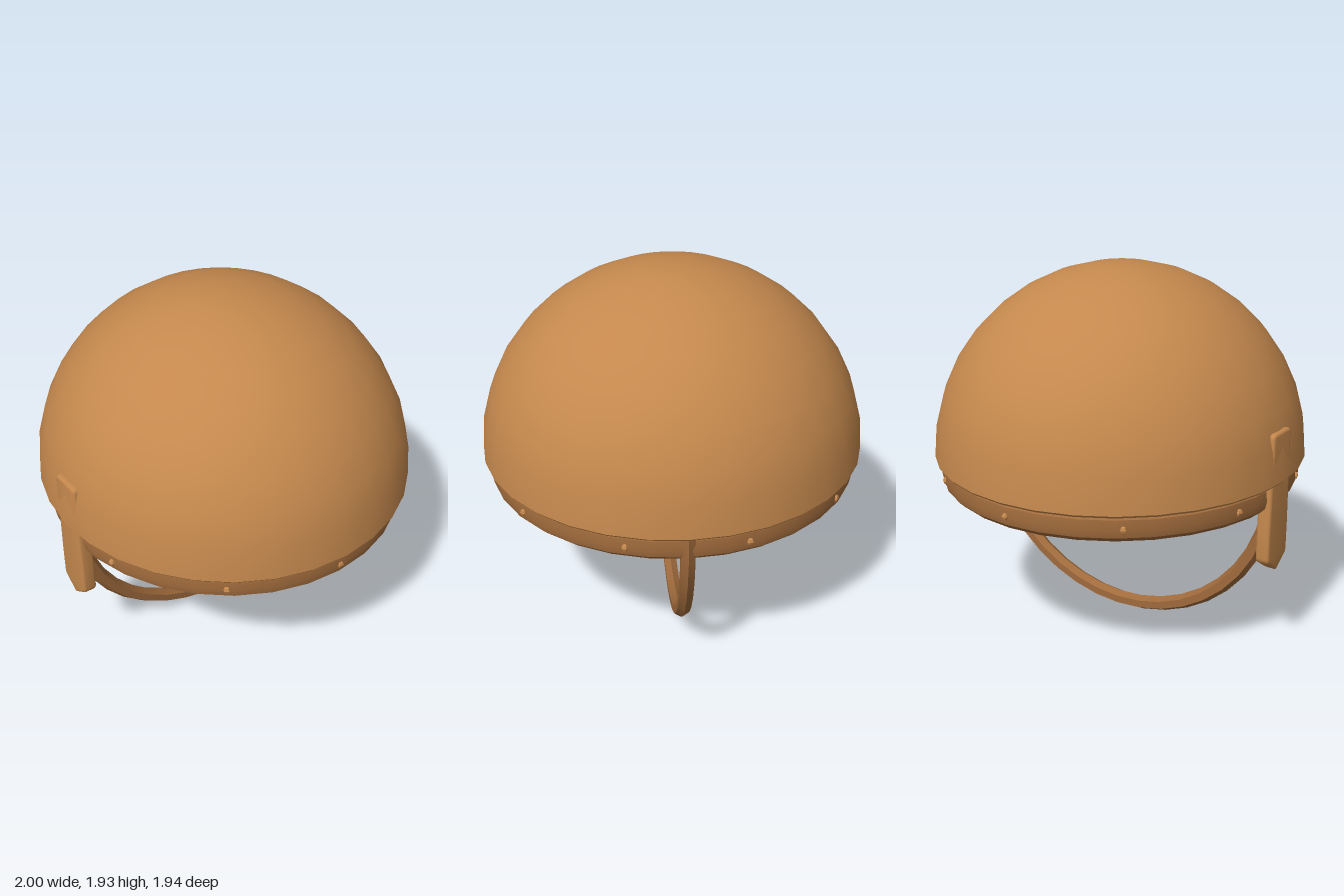
import * as THREE from 'three';
import { toCreasedNormals } from 'three/addons/utils/BufferGeometryUtils.js';

const DEPTH = 0.968; // the helmet is slightly narrower front to back

export function createModel() {
  const model = new THREE.Group();
  model.name = 'helmet';
  const leather = new THREE.MeshStandardMaterial({ color: 0xc4884d });
  const darkLeather = new THREE.MeshStandardMaterial({ color: 0xa06b3c });
  leather.name = 'tan leather';
  darkLeather.name = 'dark leather';

  function add(name, geometry, material, parent = model) {
    const mesh = new THREE.Mesh(geometry, material);
    mesh.name = name;
    parent.add(mesh);
    return mesh;
  }

  function lathe(points, crease) {
    const geometry = new THREE.LatheGeometry(points.map(([x, y]) => new THREE.Vector2(x, y)), 32);
    geometry.scale(1, 1, DEPTH);
    return toCreasedNormals(geometry, crease);
  }

  // Dome: outer shell going up, thick wall, inner shell coming down to the lip
  const outer = [], inner = [];
  for (let i = 0; i <= 9; i++) {
    const a = (i / 9) * Math.PI / 2;
    const c = i === 9 ? 0 : Math.cos(a), s = Math.sin(a);
    outer.push([c, 0.955 + 0.98 * s]);
    inner.unshift([0.902 * c, 0.945 + 0.845 * s]);
  }
  add('dome', lathe([
    [0.902, 0.925], [0.94, 0.925], [0.96, 0.94], [0.99, 0.943], ...outer, ...inner, [0.902, 0.925],
  ], 0.6), leather);

  // Rim band with chamfered edges
  add('rimBand', lathe([
    [0.9, 0.804], [0.935, 0.804], [0.962, 0.83], [0.97, 0.87], [0.962, 0.92],
    [0.945, 0.935], [0.91, 0.935], [0.897, 0.92], [0.893, 0.82], [0.9, 0.804],
  ], 0.45), darkLeather);

  // Ten small studs around the band
  const studs = new THREE.Group();
  studs.name = 'studs';
  model.add(studs);
  const studGeometry = toCreasedNormals(new THREE.SphereGeometry(0.021, 5, 4), 0.3);
  for (let i = 0; i < 10; i++) {
    const a = i * Math.PI / 5;
    const stud = add('stud', studGeometry, leather, studs);
    stud.position.set(0.96 * Math.cos(a), 0.872, 0.96 * DEPTH * Math.sin(a));
    stud.rotation.y = -a;
  }

  // Chin strap: full ring with a six-sided section, its upper half set into the dome wall
  const ring = new THREE.TorusGeometry(0.89, 0.04, 6, 40);
  ring.rotateY(Math.PI / 2);
  ring.scale(1, 1, 1.025);
  ring.translate(0, 0.93, 0);
  add('chinStrap', toCreasedNormals(ring, 0.5), darkLeather);

  // Front tab: tapered plate with rounded top corners and a pointed bottom
  const shape = new THREE.Shape();
  shape.moveTo(0, 0.472);
  shape.lineTo(0.085, 0.53);
  shape.quadraticCurveTo(0.1, 0.54, 0.1, 0.56);
  shape.lineTo(0.1, 0.7);
  shape.lineTo(0.087, 1.185);
  shape.quadraticCurveTo(0.087, 1.21, 0.062, 1.21);
  shape.lineTo(-0.062, 1.21);
  shape.quadraticCurveTo(-0.087, 1.21, -0.087, 1.185);
  shape.lineTo(-0.1, 0.7);
  shape.lineTo(-0.1, 0.56);
  shape.quadraticCurveTo(-0.1, 0.54, -0.085, 0.53);
  shape.closePath();
  const tab = new THREE.ExtrudeGeometry(shape, {
    depth: 0.046, curveSegments: 3, bevelThickness: 0.014, bevelSize: 0.014,
    bevelOffset: -0.014, bevelSegments: 3,
  });
  tab.translate(0, 0, 0.893);
  add('frontTab', toCreasedNormals(tab, 0.7), leather);

  return model;
}
